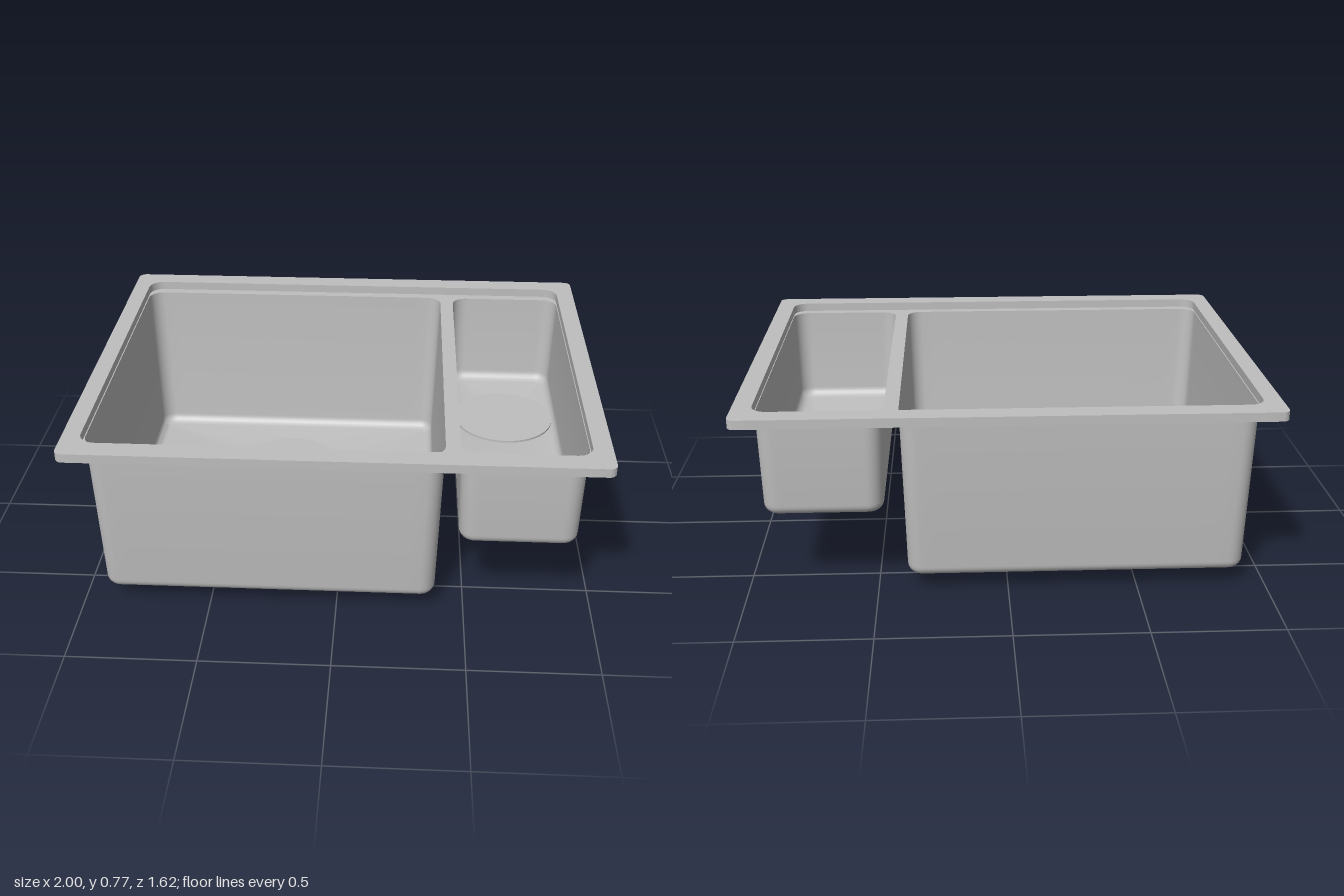
import * as THREE from 'three';
import { toCreasedNormals } from 'three/addons/utils/BufferGeometryUtils.js';

const RIM_TOP = 0.772, LEDGE = 0.737;
const SIDE = 24, CORNER = 8;

// Rounded rectangle ring in the xz plane as [x, y, z] points
function rectRing(cx, cz, hx, hz, r, y) {
  const pts = [];
  const corners = [[1, 1], [-1, 1], [-1, -1], [1, -1]].map(([sx, sz]) => [cx + sx * (hx - r), cz + sz * (hz - r)]);
  for (let k = 0; k < 4; k++) {
    const [px, pz] = corners[k];
    for (let i = 0; i <= CORNER; i++) {
      const a = (k + i / CORNER) * Math.PI / 2;
      pts.push([px + r * Math.cos(a), y, pz + r * Math.sin(a)]);
    }
    // points along the straight side to the next corner
    const [nx, nz] = corners[(k + 1) % 4];
    const a = (k + 1) * Math.PI / 2;
    for (let i = 1; i < SIDE; i++) {
      const t = i / SIDE;
      pts.push([px + (nx - px) * t + r * Math.cos(a), y, pz + (nz - pz) * t + r * Math.sin(a)]);
    }
  }
  return pts;
}

// Circle whose points face the points of another ring
function circleRing(ring, cx, cz, r, y) {
  return ring.map(([x, , z]) => {
    const a = Math.atan2(z - cz, x - cx);
    return [cx + r * Math.cos(a), y, cz + r * Math.sin(a)];
  });
}

// Skin a list of rings with equal point counts
function loft(rings, crease = 0.6) {
  const n = rings[0].length, index = [];
  for (let i = 0; i < rings.length - 1; i++) {
    for (let j = 0; j < n; j++) {
      const a = i * n + j, b = i * n + (j + 1) % n;
      index.push(a, b, a + n, b, b + n, a + n);
    }
  }
  const g = new THREE.BufferGeometry();
  g.setAttribute('position', new THREE.Float32BufferAttribute(rings.flat(2), 3));
  g.setIndex(index);
  return toCreasedNormals(g, crease);
}

// Bowl: tapered walls, rounded floor edge, sloping floor and outlet neck
function bowlGeometry({ cx, hx, hz, taper, floor, drainX, drainZ }) {
  const rings = [rectRing(cx, 0, hx, hz, 0.06, LEDGE)];
  const f = 0.04, bx = hx - taper, bz = hz - taper;
  for (let i = 0; i <= 6; i++) {
    const a = i / 6 * Math.PI / 2, inset = f * (1 - Math.cos(a));
    rings.push(rectRing(cx, 0, bx - inset, bz - inset, 0.06 - inset, floor + f * (1 - Math.sin(a))));
  }
  const edge = rings[rings.length - 1];
  const circle = (r, y) => rings.push(circleRing(edge, drainX, drainZ, r, y));
  for (let i = 0; i <= 5; i++) {
    const a = i / 5 * Math.PI / 2;
    circle(0.175 - 0.041 * Math.sin(a), floor - 0.012 - 0.025 * (1 - Math.cos(a)));
  }
  circle(0.134, floor - 0.067);
  circle(0.001, floor - 0.067);
  return loft(rings);
}

export function createModel() {
  const steel = new THREE.MeshStandardMaterial({ color: 0xbfbfbf, side: THREE.DoubleSide });
  steel.name = 'steel';
  const model = new THREE.Group();
  model.name = 'sink';
  const add = (name, geometry) => {
    const mesh = new THREE.Mesh(geometry, steel);
    mesh.name = name;
    model.add(mesh);
    return mesh;
  };

  const bowls = [
    { name: 'mainBowl', cx: -0.2625, hx: 0.6655, hz: 0.684, taper: 0.017, floor: 0.067, drainX: -0.264, drainZ: -0.288, cover: 0.217 },
    { name: 'sideBowl', cx: 0.692, hx: 0.233, hz: 0.684, taper: 0.008, floor: 0.337, drainX: 0.692, drainZ: -0.288, cover: 0.212 },
  ];

  // Folded rim sheet: recess wall, flat top and outer skirt
  const recess = y => rectRing(-0.002, 0, 0.93, 0.723, 0.06, y);
  const outer = y => rectRing(0, 0, 1, 0.808, 0.03, y);
  add('rim', loft([recess(LEDGE), recess(RIM_TOP), outer(RIM_TOP), outer(LEDGE)]));

  // Sunken ledge with the bowl openings
  const flat = ring => ring.map(([x, , z]) => new THREE.Vector2(x, -z));
  const ledge = new THREE.Shape(flat(recess(0)));
  for (const b of bowls) ledge.holes.push(new THREE.Path(flat(rectRing(b.cx, 0, b.hx, b.hz, 0.06, 0))));
  add('ledge', new THREE.ShapeGeometry(ledge).rotateX(-Math.PI / 2).translate(0, LEDGE, 0));

  // Bowls and flat drain covers
  for (const b of bowls) {
    add(b.name, bowlGeometry(b));
    const cover = add(b.name + 'DrainCover', new THREE.CylinderGeometry(b.cover, b.cover, 0.009, 64));
    cover.position.set(b.drainX, b.floor + 0.007, b.drainZ);
  }
  return model;
}
